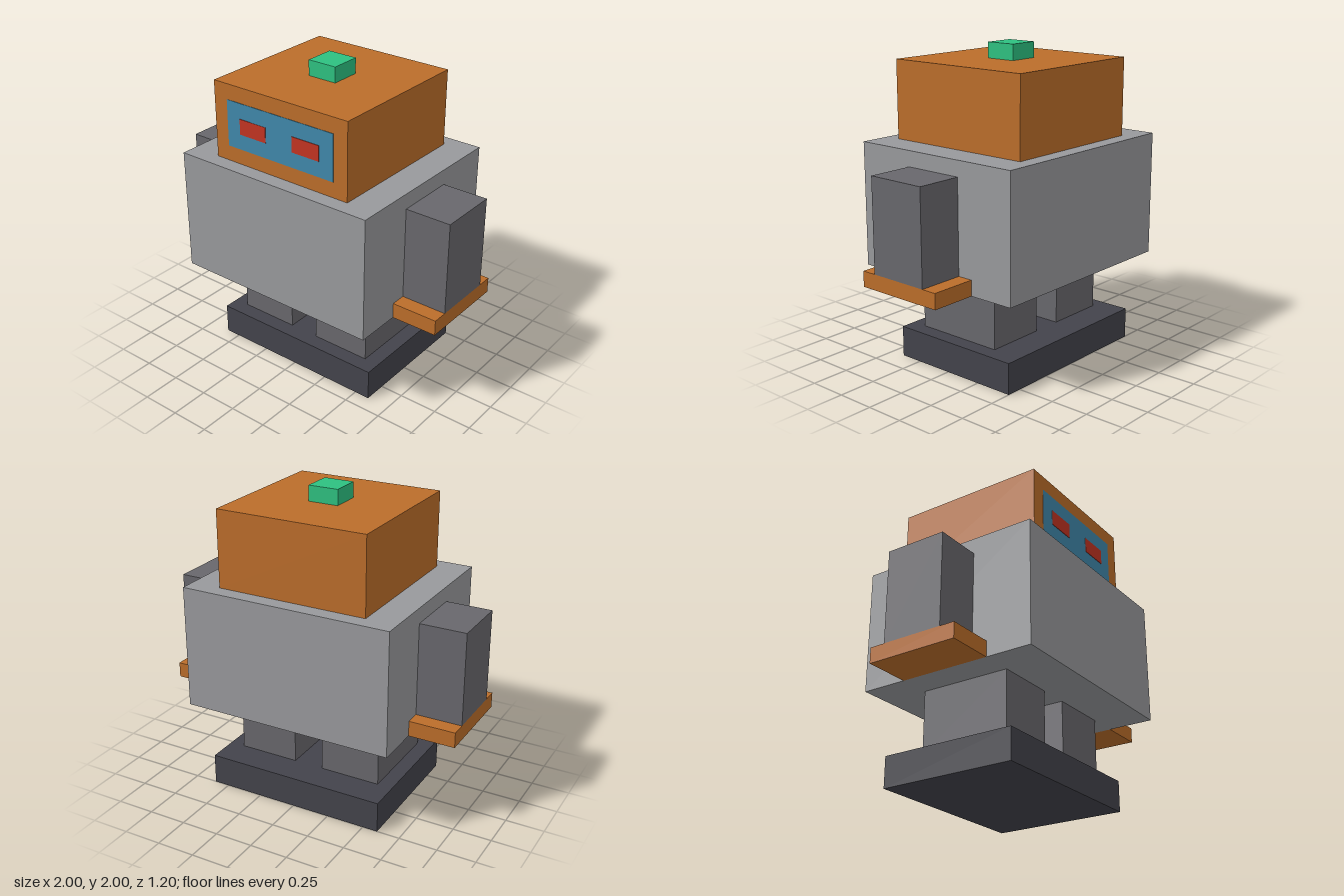
import * as THREE from 'three';

const paint = (name, color) => {
  const m = new THREE.MeshStandardMaterial({ color });
  m.name = name;
  return m;
};

export function createModel() {
  const lightGrey = paint('light grey', 0x98999c);
  const darkGrey = paint('dark grey', 0x68676c);
  const charcoal = paint('charcoal', 0x43434b);
  const orange = paint('orange', 0xbb6d2a);
  const blue = paint('blue', 0x3f87aa);
  const red = paint('red', 0xc23321);
  const green = paint('green', 0x2dc080);

  const robot = new THREE.Group();
  robot.name = 'robot';

  // Box given by its [min, max] extent on each axis
  const box = (name, material, [x0, x1], [y0, y1], [z0, z1]) => {
    const mesh = new THREE.Mesh(new THREE.BoxGeometry(x1 - x0, y1 - y0, z1 - z0), material);
    mesh.position.set((x0 + x1) / 2, (y0 + y1) / 2, (z0 + z1) / 2);
    mesh.name = name;
    robot.add(mesh);
  };

  // Same box on both sides, x measured outwards from the middle
  const pair = (name, material, [x0, x1], y, z) => {
    box('left' + name, material, [x0, x1], y, z);
    box('right' + name, material, [-x1, -x0], y, z);
  };

  // Base and legs
  box('footBase', charcoal, [-0.6, 0.6], [0, 0.2], [-0.5, 0.4]);
  pair('Leg', darkGrey, [0.1, 0.5], [0.2, 0.6], [-0.3, 0.3]);

  // Body and arms
  box('torso', lightGrey, [-0.7, 0.7], [0.6, 1.4], [-0.6, 0.6]);
  pair('Arm', darkGrey, [0.7, 1], [0.7, 1.3], [-0.2, 0.2]);
  pair('Hand', orange, [0.7, 1], [0.6, 0.7], [-0.3, 0.3]);

  // Head with button on top
  box('head', orange, [-0.5, 0.5], [1.4, 1.9], [-0.5, 0.5]);
  box('headButton', green, [-0.1, 0.1], [1.9, 2], [-0.1, 0.1]);

  // Painted visor and eyes
  box('visor', blue, [-0.4, 0.4], [1.5, 1.8], [0.5, 0.503]);
  pair('Eye', red, [0.1, 0.3], [1.6, 1.7], [0.503, 0.506]);

  return robot;
}
